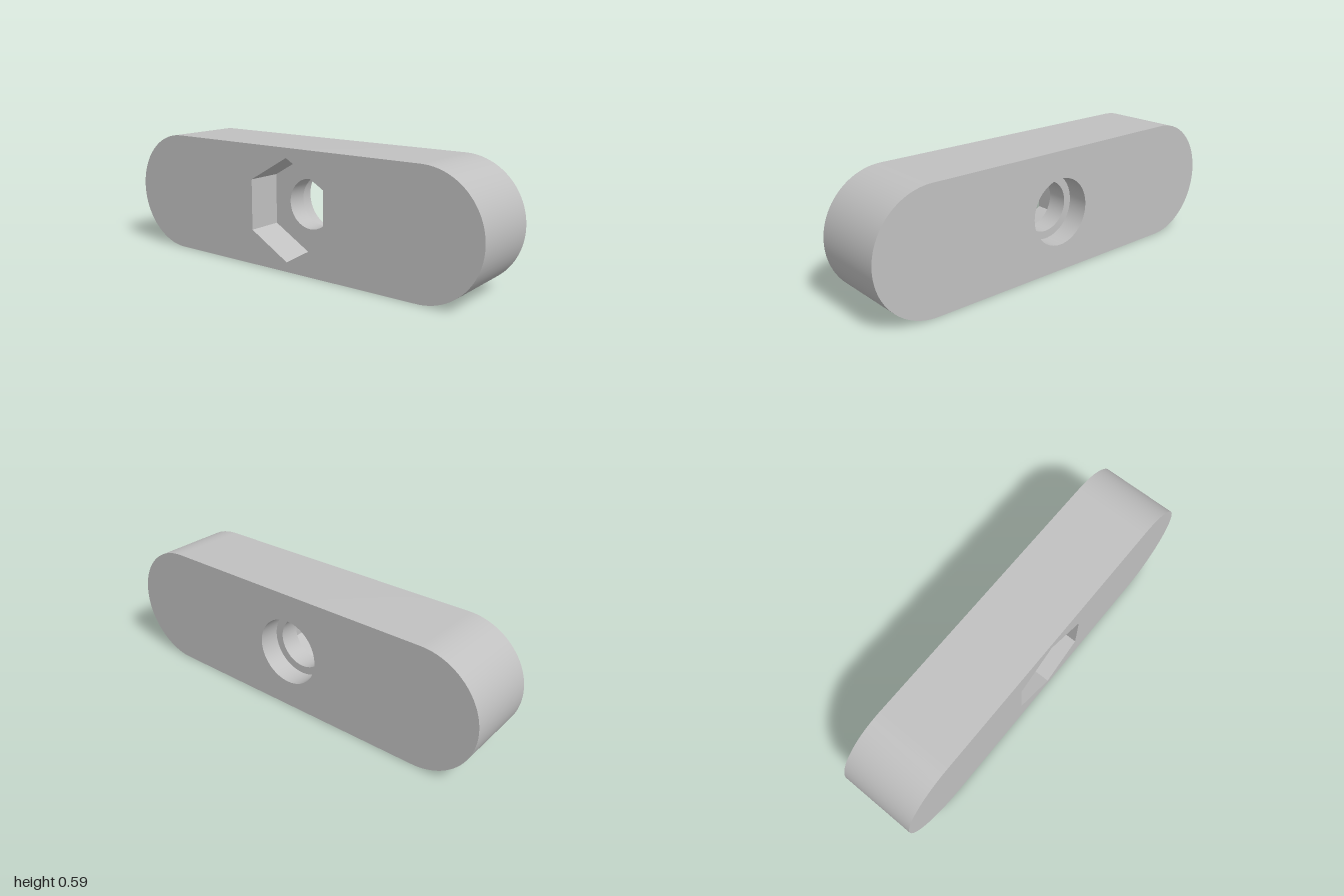
import * as THREE from 'three';
import { toCreasedNormals } from 'three/addons/utils/BufferGeometryUtils.js';

const HALF = 0.1925;        // half thickness along x
const RADIUS = 0.295;       // rounded end radius
const STEP_X = HALF - 0.105; // floor of the round counterbore
const HEX_X = -HALF + 0.18;  // floor of the hexagonal pocket

// Counter-clockwise points of an arc around (cx, 0)
function arc(cx, r, start, sweep, n, includeEnd = false) {
  const pts = [];
  for (let i = 0; i < n + (includeEnd ? 1 : 0); i++) {
    const a = start + (sweep * i) / n;
    pts.push(new THREE.Vector2(cx + r * Math.cos(a), r * Math.sin(a)));
  }
  return pts;
}

// Wall swept along x over a closed outline; inward walls line a hole
function wall(outline, x0, x1, inward = false) {
  const pts = inward ? [...outline].reverse() : outline;
  const pos = [];
  pts.forEach((p, i) => {
    const q = pts[(i + 1) % pts.length];
    pos.push(p.x, p.y, x0, q.x, q.y, x0, q.x, q.y, x1);
    pos.push(p.x, p.y, x0, q.x, q.y, x1, p.x, p.y, x1);
  });
  const geo = new THREE.BufferGeometry();
  geo.setAttribute('position', new THREE.Float32BufferAttribute(pos, 3));
  return toCreasedNormals(geo.rotateY(Math.PI / 2), 0.5);
}

// Flat face with a hole at a given x, facing +x (side 1) or -x (side -1)
function face(outline, hole, x, side) {
  const shape = new THREE.Shape(outline);
  shape.holes.push(new THREE.Path(hole));
  return new THREE.ShapeGeometry(shape).rotateY((side * Math.PI) / 2).translate(x, 0, 0);
}

export function createModel() {
  const group = new THREE.Group();
  group.name = 'slottedBlock';
  const grey = new THREE.MeshStandardMaterial({ color: 0xc0c0c0 });
  grey.name = 'plain grey';

  const add = (name, geometry) => {
    const mesh = new THREE.Mesh(geometry, grey);
    mesh.name = name;
    mesh.position.y = RADIUS;
    group.add(mesh);
  };

  const end = 1 - RADIUS;
  const slot = [
    ...arc(end, RADIUS, -Math.PI / 2, Math.PI, 48, true),
    ...arc(-end, RADIUS, Math.PI / 2, Math.PI, 48, true),
  ];
  const counterbore = arc(0, 0.163, 0, Math.PI * 2, 64);
  const bore = arc(0, 0.124, 0, Math.PI * 2, 64);
  const hexagon = arc(0, 0.248, Math.PI / 2, Math.PI * 2, 6);

  // Outer body
  add('bodyRim', wall(slot, -HALF, HALF));
  add('leftFace', face(slot, counterbore, HALF, 1));
  add('rightFace', face(slot, hexagon, -HALF, -1));

  // Stepped bolt hole
  add('counterboreWall', wall(counterbore, STEP_X, HALF, true));
  add('counterboreFloor', face(counterbore, bore, STEP_X, 1));
  add('boreWall', wall(bore, HEX_X, STEP_X, true));

  // Nut pocket
  add('hexPocketWall', wall(hexagon, -HALF, HEX_X, true));
  add('hexPocketFloor', face(hexagon, bore, HEX_X, -1));

  return group;
}
